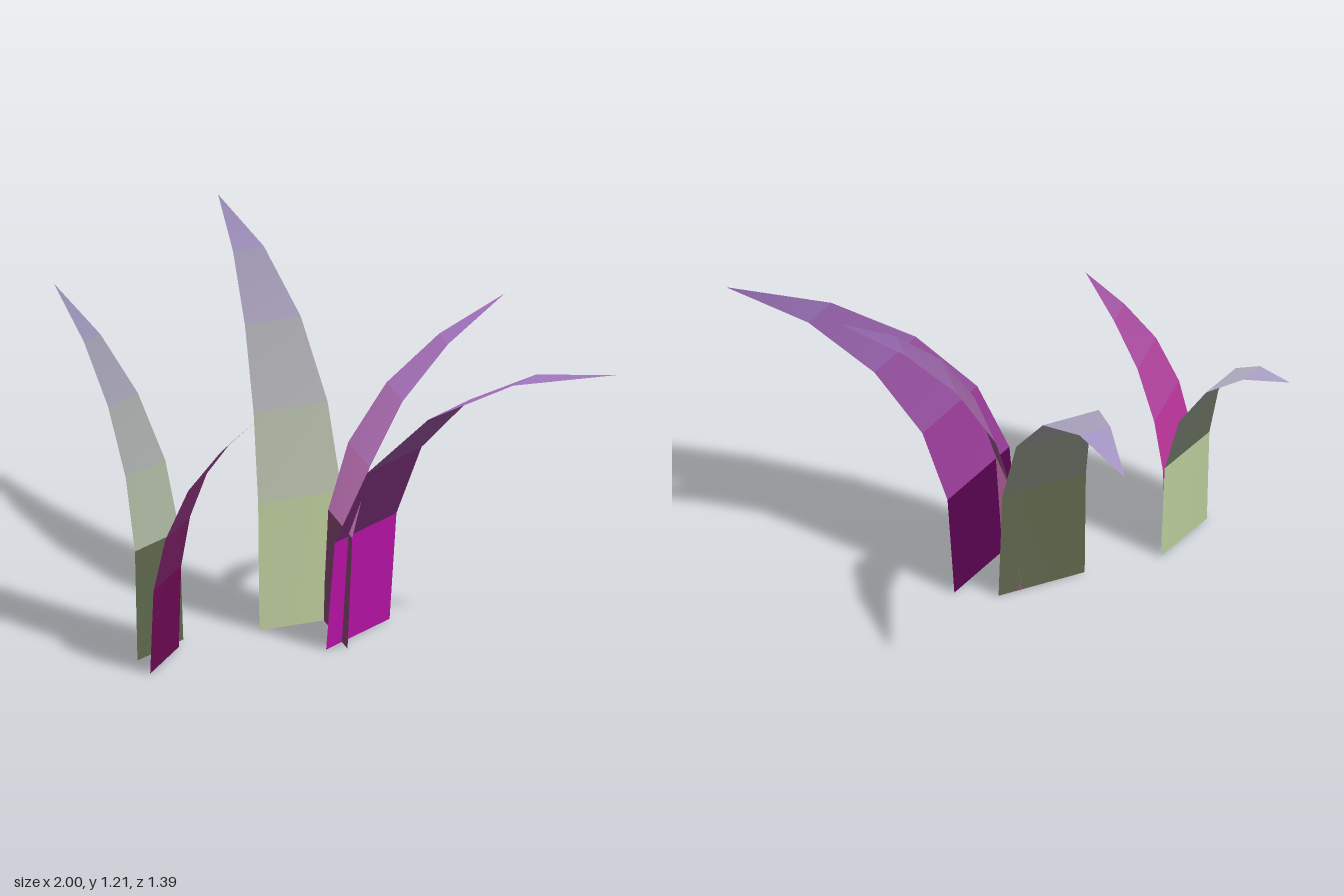
import * as THREE from 'three';

// Outward reach of each cross-section, as a fraction from base to tip
const REACH = [0, 0.03, 0.14, 0.35, 0.64, 1];

// Soft foliage shading: normals fan out from a point below the tuft
const SHADING_CENTRE = new THREE.Vector3(-0.19, -1.2, 0.15);

// a, b: base corners [x, z]; tip: [x, z]; heights: one per cross-section
const BLADES = [
  { name: 'tallLeftBlade', a: [-0.19, 0.125], b: [-0.01, -0.145], tip: [-0.866, -0.698],
    heights: [0, 0.45, 0.74, 0.98, 1.14, 1.21], from: 0xa3b086, to: 0xa595c4 },
  { name: 'outerLeftBlade', a: [-0.385, 0.605], b: [-0.364, 0.34], tip: [-1.0, 0.157],
    heights: [0, 0.39, 0.63, 0.836, 1.0, 1.122], from: 0xa3b488, to: 0xa49bc0 },
  { name: 'middleBlade', a: [-0.064, -0.085], b: [0.165, 0.124], tip: [0.45, -0.44],
    heights: [0, 0.4, 0.645, 0.86, 1.035, 1.177], from: 0x95507f, to: 0x9a6cb4 },
  { name: 'rightBlade', a: [0.128, -0.21], b: [0.107, 0.17], tip: [0.995, -0.3],
    heights: [0, 0.39, 0.646, 0.847, 0.978, 1.026], from: 0x9a0e8c, to: 0x9a72b8 },
  { name: 'frontBlade', a: [-0.337, 0.413], b: [-0.278, 0.695], tip: [0.053, 0.52],
    heights: [0, 0.3, 0.49, 0.67, 0.81, 0.94], from: 0xb4188a, to: 0xaa58aa },
];

// One piece of a blade, with its normals fanned out from the shading centre
function pieceGeometry(corners) {
  const geometry = new THREE.BufferGeometry().setFromPoints(corners);
  const normals = corners.flatMap((p) => p.clone().sub(SHADING_CENTRE).normalize().toArray());
  geometry.setAttribute('normal', new THREE.Float32BufferAttribute(normals, 3));
  return geometry;
}

// A leaf that rises steeply, bends outward and narrows to a point
function createBlade({ name, a, b, tip, heights, from, to }) {
  const blade = new THREE.Group();
  blade.name = name;

  const edgePoint = (corner, t, y) => new THREE.Vector3(
    THREE.MathUtils.lerp(corner[0], tip[0], t), y, THREE.MathUtils.lerp(corner[1], tip[1], t));
  const sections = REACH.map((t, i) => [edgePoint(a, t, heights[i]), edgePoint(b, t, heights[i])]);

  // Colour shifts step by step from base to tip
  const last = sections.length - 2;
  for (let i = 0; i <= last; i++) {
    const [a0, b0] = sections[i];
    const [a1, b1] = sections[i + 1];
    const corners = i < last ? [a0, b0, b1, a0, b1, a1] : [a0, b0, a1];
    const color = new THREE.Color(from).lerp(new THREE.Color(to), i / last);
    const material = new THREE.MeshStandardMaterial({ color, side: THREE.DoubleSide });
    const mesh = new THREE.Mesh(pieceGeometry(corners), material);
    mesh.name = i < last ? `bladeSegment${i + 1}` : 'bladeTip';
    blade.add(mesh);
  }
  return blade;
}

export function createModel() {
  const plant = new THREE.Group();
  plant.name = 'grassTuft';
  BLADES.forEach((spec) => plant.add(createBlade(spec)));
  return plant;
}
